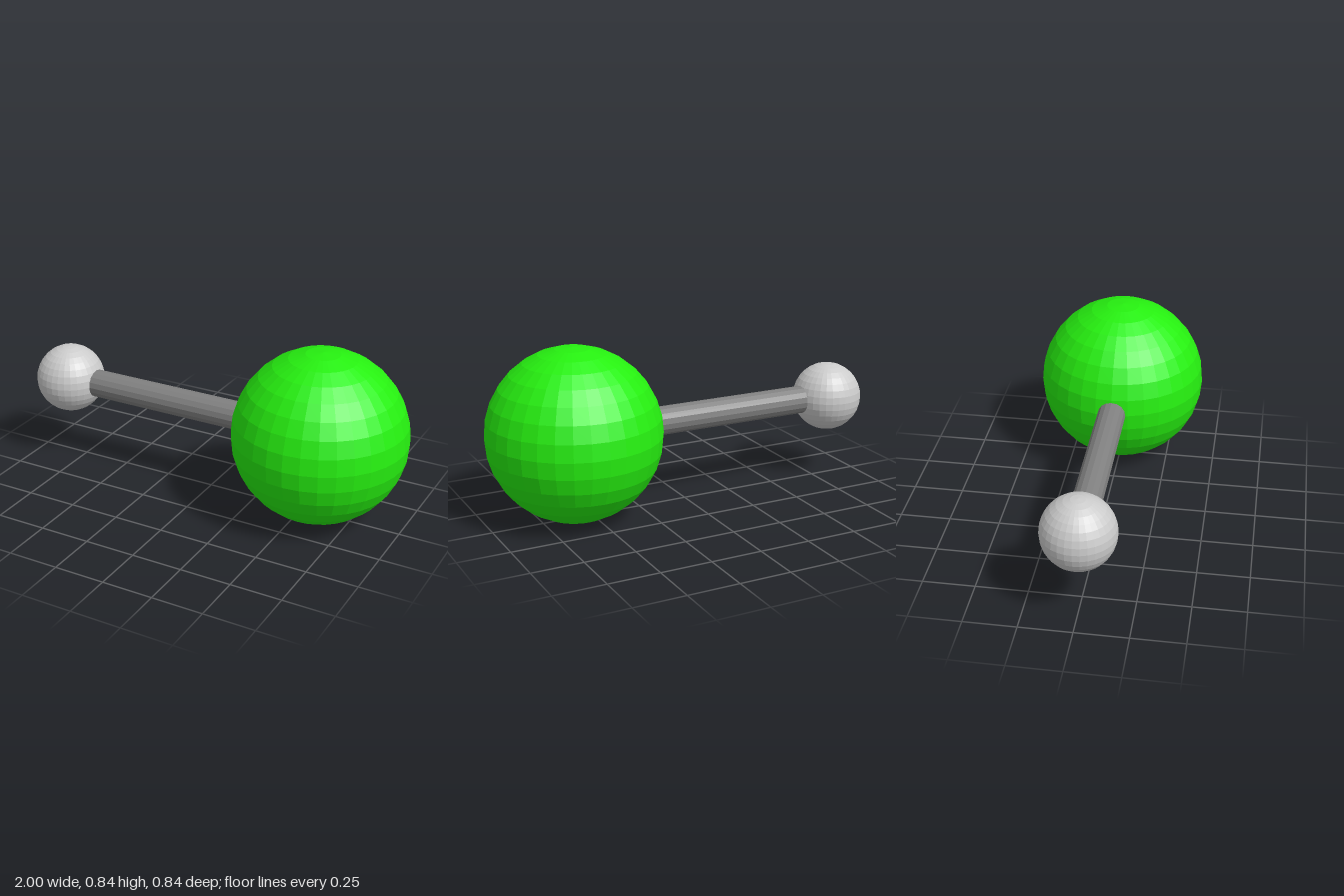
import * as THREE from 'three';

const AXIS_Y = 0.42;

function addPart(group, name, geometry, color, x) {
  const material = new THREE.MeshStandardMaterial({ color, flatShading: true });
  const mesh = new THREE.Mesh(geometry, material);
  mesh.name = name;
  mesh.position.set(x, AXIS_Y, 0);
  group.add(mesh);
  return mesh;
}

export function createModel() {
  const group = new THREE.Group();
  group.name = 'diatomicMolecule';

  const smallX = -0.826, largeX = 0.58;

  // Atoms
  addPart(group, 'largeAtom', new THREE.SphereGeometry(0.42, 32, 16), 0x26f010, largeX);
  addPart(group, 'smallAtom', new THREE.SphereGeometry(0.174, 32, 16), 0xcccccc, smallX);

  // Bond rod, running between the atom centres
  const rod = new THREE.CylinderGeometry(0.07, 0.07, largeX - smallX, 16);
  rod.rotateZ(Math.PI / 2);
  addPart(group, 'bond', rod, 0x808080, (smallX + largeX) / 2);

  return group;
}
